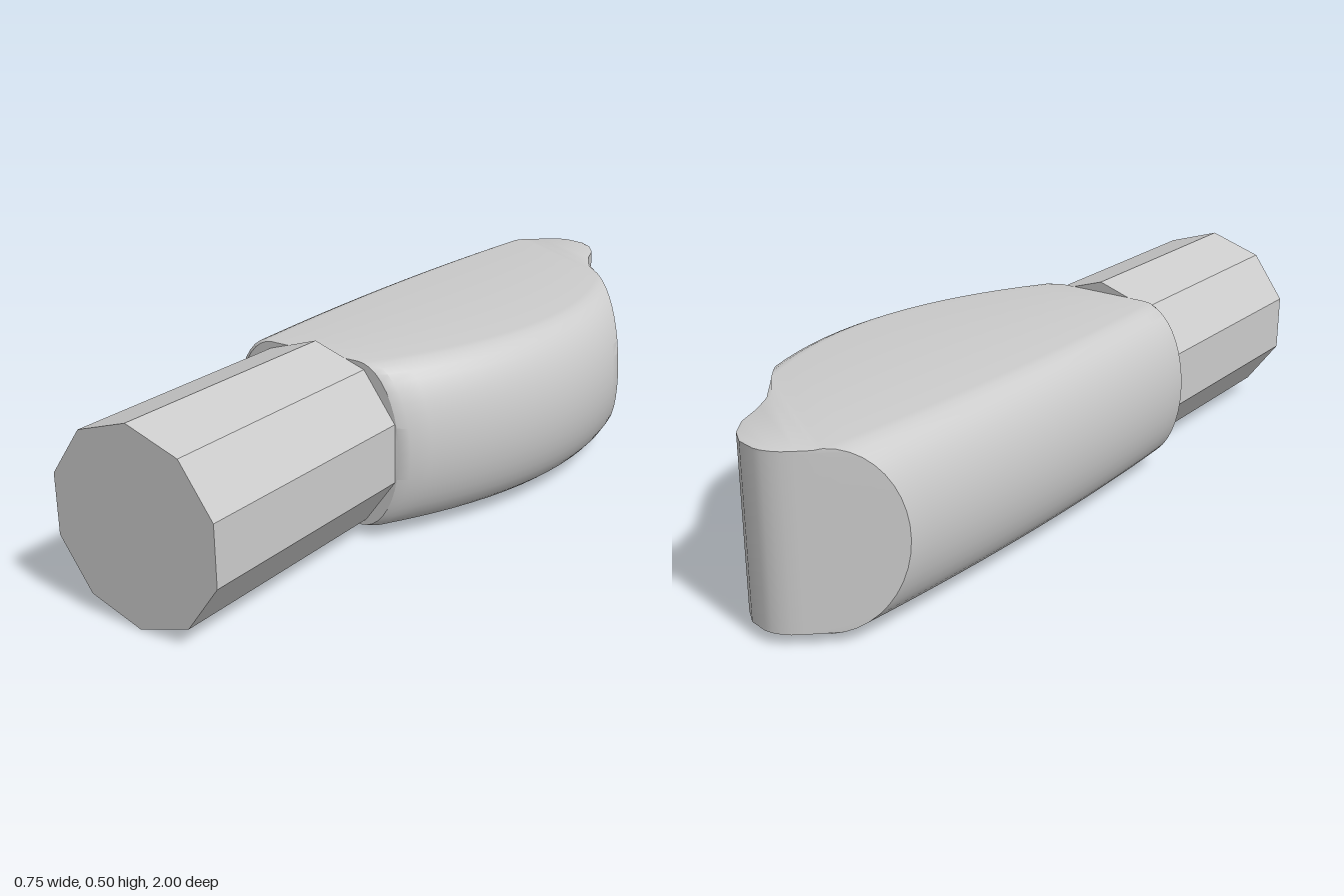
import * as THREE from 'three';
import { toCreasedNormals } from 'three/addons/utils/BufferGeometryUtils.js';

const FRONT = 0.34, MID_Y = 0.25, HALF_H = 0.22, BULGE = 0.12;
const BODY_STEPS = 16, LAYERS = 20;

// Each flank: the bulging side curve, the straight cut at the back, and the nose beyond it.
const right = {
  sign: 1,
  side: z => 0.375 - 0.52 * (z + 0.28) ** 2,
  cut: z => 0.09 + (z + 0.78) * 0.844,
  nose: [[0.09, -0.78], [0.06, -0.84], [0.035, -0.91], [0, -0.96], [-0.04, -0.99], [-0.09, -1]],
};
const left = {
  sign: -1,
  side: z => -0.376 + 0.063 * (z + 0.1) ** 2,
  cut: z => -0.345 - (z + 0.8) * 1.09,
  nose: [[-0.2, -0.935], [-0.17, -0.963], [-0.15, -0.98], [-0.13, -0.991], [-0.11, -0.998], [-0.09, -1]],
};

// Outline of one flank at one height, from the front to the nose tip
function flankPoints({ sign, side, cut, nose }, inset, bevel) {
  const x = z => side(z) - sign * inset;
  let lo = -1, hi = FRONT;
  for (let i = 0; i < 40; i++) {
    const z = (lo + hi) / 2;
    if (sign * (x(z) - cut(z)) > 0) lo = z; else hi = z;
  }
  const points = [[x(FRONT) - sign * 0.015, FRONT]];
  for (let i = 0; i <= BODY_STEPS; i++) {
    const z = THREE.MathUtils.lerp(FRONT - 0.015, hi, i / BODY_STEPS);
    points.push([x(z), z]);
  }
  for (const [px, pz] of nose) {
    points.push([-0.09 + (px + 0.09) * (1 - 4 * bevel), pz + bevel]);
  }
  return points;
}

// Head: horizontal outlines stacked from bottom to top
function headGeometry() {
  const positions = [], index = [];
  const half = BODY_STEPS + 2 + right.nose.length, count = half * 2;
  for (let j = 0; j <= LAYERS; j++) {
    const a = Math.PI * (j / LAYERS - 0.5);
    const inset = BULGE * (1 - Math.cos(a));
    const bevel = j === 0 || j === LAYERS ? 0.008 : 0;
    const ring = [...flankPoints(right, inset, bevel), ...flankPoints(left, inset, bevel).reverse()];
    for (const [x, z] of ring) positions.push(x, MID_Y + HALF_H * Math.sin(a), z);
  }
  const quad = (a, b, c, d) => index.push(a, b, c, a, c, d);
  // walls, including the flat front end
  for (let j = 0; j < LAYERS; j++) {
    for (let i = 0; i < count; i++) {
      const a = j * count + i, b = j * count + (i + 1) % count;
      quad(a, b, b + count, a + count);
    }
  }
  // flat bottom and top, spanned between the two flanks
  const top = LAYERS * count;
  for (let i = 0; i < half - 1; i++) {
    const l = count - 1 - i;
    quad(top + i, top + i + 1, top + l - 1, top + l);
    quad(l, l - 1, i + 1, i);
  }
  const geometry = new THREE.BufferGeometry();
  geometry.setAttribute('position', new THREE.Float32BufferAttribute(positions, 3));
  geometry.setIndex(index);
  return toCreasedNormals(geometry, THREE.MathUtils.degToRad(32));
}

export function createModel() {
  const group = new THREE.Group();

  const head = new THREE.Mesh(headGeometry(), new THREE.MeshStandardMaterial({ color: 0xcccccc }));
  head.name = 'head';
  group.add(head);

  // Ten-sided shaft with a corner pointing straight up
  const shaftGeometry = new THREE.CylinderGeometry(0.249, 0.249, 1 - FRONT, 10);
  shaftGeometry.rotateX(Math.PI / 2);
  const shaft = new THREE.Mesh(
    shaftGeometry,
    new THREE.MeshStandardMaterial({ color: 0xcccccc, flatShading: true }),
  );
  shaft.name = 'shaft';
  shaft.position.set(-0.088, MID_Y, (1 + FRONT) / 2);
  group.add(shaft);

  return group;
}
